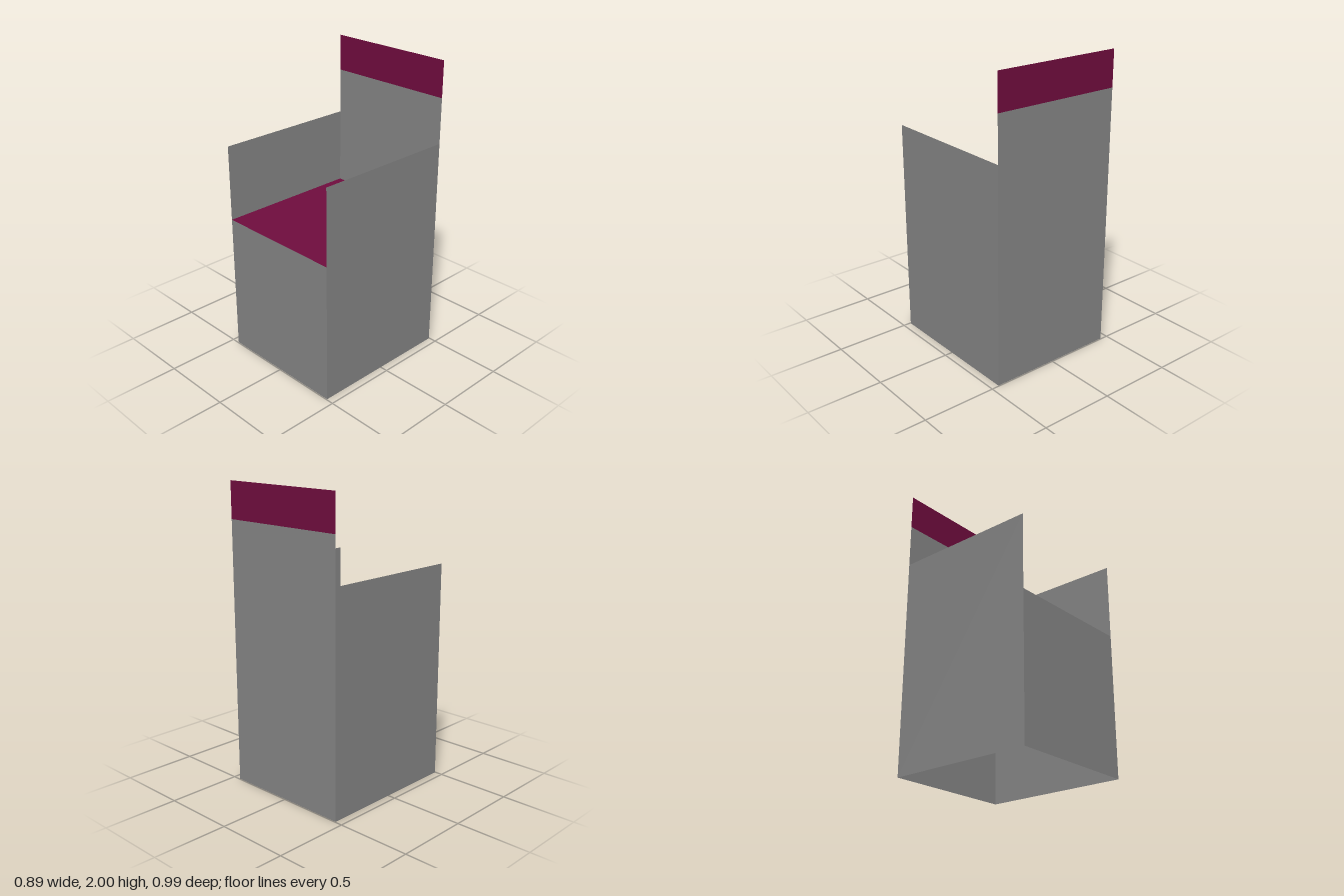
import * as THREE from 'three';

const HALF_W = 0.447, HALF_D = 0.495;
const ARM_TOP = 1.46, SEAT_Y = 0.95, FLOOR_Y = 0.37, BAND_Y = 1.76, TOP_Y = 2;

export function createModel() {
  const model = new THREE.Group();
  model.name = 'highBackBoxSeat';

  const grey = new THREE.MeshStandardMaterial({ color: 0x828282, side: THREE.DoubleSide });
  grey.name = 'grey shell';
  const maroon = new THREE.MeshStandardMaterial({ color: 0x6e0c3d, side: THREE.DoubleSide });
  maroon.name = 'maroon upholstery';

  const addPanel = (name, width, height, material) => {
    const mesh = new THREE.Mesh(new THREE.PlaneGeometry(width, height), material);
    mesh.name = name;
    model.add(mesh);
    return mesh;
  };

  // Upright panel across the width, from y0 to y1
  const across = (name, y0, y1, z, material) => {
    const panel = addPanel(name, 2 * HALF_W, y1 - y0, material);
    panel.position.set(0, (y0 + y1) / 2, z);
    if (z < 0) panel.rotation.y = Math.PI;
  };
  across('frontPanel', 0, SEAT_Y, HALF_D, grey);
  across('backPanel', 0, BAND_Y, -HALF_D, grey);
  across('headBand', BAND_Y, TOP_Y, -HALF_D, maroon);

  // Side walls that rise into armrests
  for (const [name, side] of [['leftSide', 1], ['rightSide', -1]]) {
    const wall = addPanel(name, 2 * HALF_D, ARM_TOP, grey);
    wall.rotation.y = side * Math.PI / 2;
    wall.position.set(side * HALF_W, ARM_TOP / 2, 0);
  }

  // Seat, and the inner floor seen through the open base
  const seat = addPanel('seat', 2 * HALF_W, 2 * HALF_D, maroon);
  seat.rotation.x = -Math.PI / 2;
  seat.position.y = SEAT_Y;

  const floor = addPanel('innerFloor', 2 * HALF_W, 2 * HALF_D, grey);
  floor.rotation.x = Math.PI / 2;
  floor.position.y = FLOOR_Y;

  return model;
}
